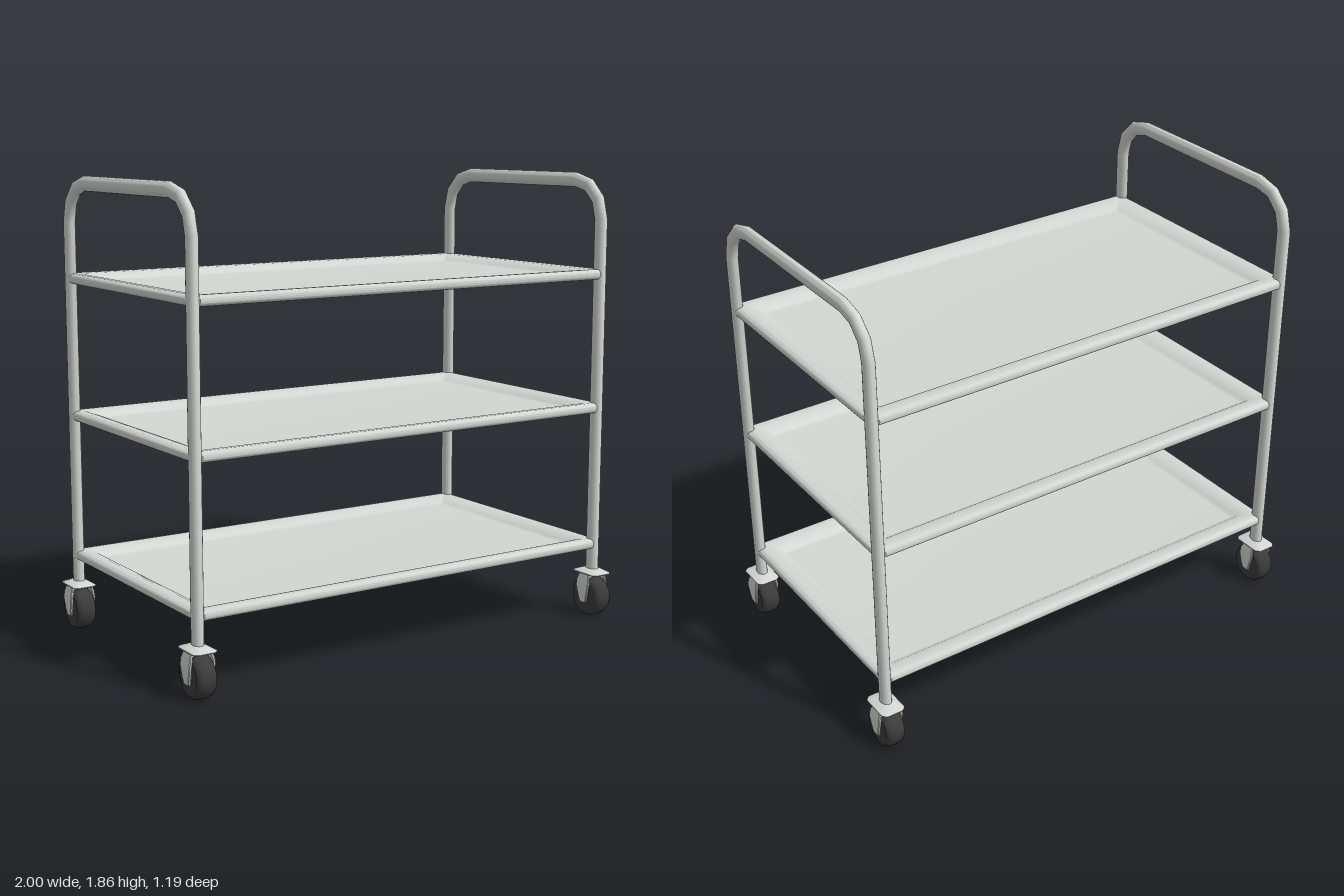
import * as THREE from 'three';
import { toCreasedNormals } from 'three/addons/utils/BufferGeometryUtils.js';

const steel = new THREE.MeshStandardMaterial({ color: 0xd3d6d3 });
steel.name = 'brushed steel';
const rubber = new THREE.MeshStandardMaterial({ color: 0x3a3b3a });
rubber.name = 'dark rubber';

const POST_X = 0.945, POST_Z = 0.51;

// Skin a list of equal-length rings (counterclockwise about the direction of travel), capped at both ends
function loft(rings, crease = 0.7) {
  const n = rings[0].length, index = [];
  for (let i = 0; i < rings.length - 1; i++) {
    for (let j = 0; j < n; j++) {
      const k = (j + 1) % n, a = i * n + j, b = i * n + k;
      index.push(a, b, b + n, a, b + n, a + n);
    }
  }
  const last = (rings.length - 1) * n;
  for (let j = 1; j < n - 1; j++) {
    index.push(0, j + 1, j, last, last + j, last + j + 1);
  }
  const geo = new THREE.BufferGeometry();
  geo.setAttribute('position', new THREE.Float32BufferAttribute(rings.flat(2), 3));
  geo.setIndex(index);
  return toCreasedNormals(geo, crease);
}

// Horizontal rectangle with cut corners
function rectRing(hx, hz, cut, y, cx = 0) {
  return [
    [hx, hz - cut], [hx, cut - hz], [hx - cut, -hz], [cut - hx, -hz],
    [-hx, cut - hz], [-hx, hz - cut], [cut - hx, hz], [hx - cut, hz],
  ].map(([x, z]) => [x + cx, y, z]);
}

function add(parent, name, geo, material) {
  const mesh = new THREE.Mesh(geo, material);
  mesh.name = name;
  parent.add(mesh);
  return mesh;
}

// Two posts and the handle in one bent oval tube
function frameGeometry() {
  const bend = 0.155, topY = 1.67, steps = 3, sides = 20;
  const stations = [[POST_Z, 0.19, 0]];
  for (const side of [1, -1]) {
    for (let i = 0; i <= steps; i++) {
      const t = (i / steps) * Math.PI / 2 + (side < 0 ? Math.PI / 2 : 0);
      const cz = side * (POST_Z - bend);
      stations.push([cz + bend * Math.cos(t), topY + bend * Math.sin(t), t]);
    }
  }
  stations.push([-POST_Z, 0.19, Math.PI]);
  return loft(stations.map(([z, y, t]) => Array.from({ length: sides }, (_, j) => {
    const a = (j / sides) * Math.PI * 2, inward = 0.03 * Math.sin(a);
    return [0.022 * Math.cos(a), y - inward * Math.sin(t), z - inward * Math.cos(t)];
  })));
}

// Tray with a rolled rim sloping down to a recessed floor
function trayGeometry() {
  const profile = [[0.05, -0.014], [0.028, -0.018]];
  for (let i = 0; i <= 8; i++) {
    const a = -Math.PI / 2 + (i / 8) * Math.PI;
    profile.push([0.021 - 0.021 * Math.cos(a), 0.021 * Math.sin(a)]);
  }
  profile.push([0.05, 0.019], [0.075, 0.011], [0.09, 0.001], [0.1, -0.006], [0.108, -0.007]);
  return loft(profile.map(([inset, y]) =>
    rectRing(0.963 - inset, 0.537 - inset, Math.max(0.036 - inset, 0.004), y)));
}

// Rubber wheel with rounded shoulders, lying along x
function wheelGeometry() {
  const points = [
    [0, -0.032], [0.05, -0.034], [0.062, -0.04], [0.074, -0.037], [0.082, -0.026], [0.085, -0.01],
    [0.085, 0.01], [0.082, 0.026], [0.074, 0.037], [0.062, 0.04], [0.05, 0.034], [0, 0.032],
  ].map(([r, y]) => new THREE.Vector2(r, y));
  return new THREE.LatheGeometry(points, 32).rotateZ(Math.PI / 2);
}

function createCaster() {
  const caster = new THREE.Group();
  caster.name = 'caster';
  add(caster, 'wheel', wheelGeometry(), rubber).position.y = 0.085;

  // Mounting flange, flared towards the bottom
  add(caster, 'flange', loft([
    rectRing(0.048, 0.07, 0.015, 0.182),
    rectRing(0.05, 0.073, 0.016, 0.187),
    rectRing(0.024, 0.034, 0.012, 0.203),
  ]), steel);
  add(caster, 'forkCrown', new THREE.BoxGeometry(0.084, 0.014, 0.064), steel).position.y = 0.177;

  // Tapered fork arms on both sides of the wheel
  for (const side of [1, -1]) {
    const arm = loft([
      [0.06, 0.044, 0.018], [0.085, 0.047, 0.025], [0.13, 0.049, 0.037],
      [0.155, 0.046, 0.036], [0.184, 0.038, 0.028],
    ].map(([y, x, hz]) => rectRing(0.006, hz, 0.003, y, side * x)), 0.5);
    add(caster, side > 0 ? 'leftForkArm' : 'rightForkArm', arm, steel);
  }
  const axle = new THREE.CylinderGeometry(0.01, 0.01, 0.104, 12).rotateZ(Math.PI / 2);
  add(caster, 'axle', axle, steel).position.y = 0.085;
  return caster;
}

export function createModel() {
  const cart = new THREE.Group();
  cart.name = 'serviceCart';

  // End frames
  const frame = frameGeometry();
  for (const side of [1, -1]) {
    add(cart, side > 0 ? 'leftFrame' : 'rightFrame', frame, steel).position.x = side * POST_X;
  }

  // Three shelves
  const tray = trayGeometry();
  [['bottomShelf', 0.31], ['middleShelf', 0.89], ['topShelf', 1.445]].forEach(([name, y]) => {
    add(cart, name, tray, steel).position.y = y;
  });

  // Casters under the posts
  for (const sx of [1, -1]) {
    for (const sz of [1, -1]) {
      const caster = createCaster();
      caster.name = (sz > 0 ? 'front' : 'back') + (sx > 0 ? 'Left' : 'Right') + 'Caster';
      caster.position.set(sx * POST_X, 0, sz * POST_Z);
      cart.add(caster);
    }
  }
  return cart;
}
